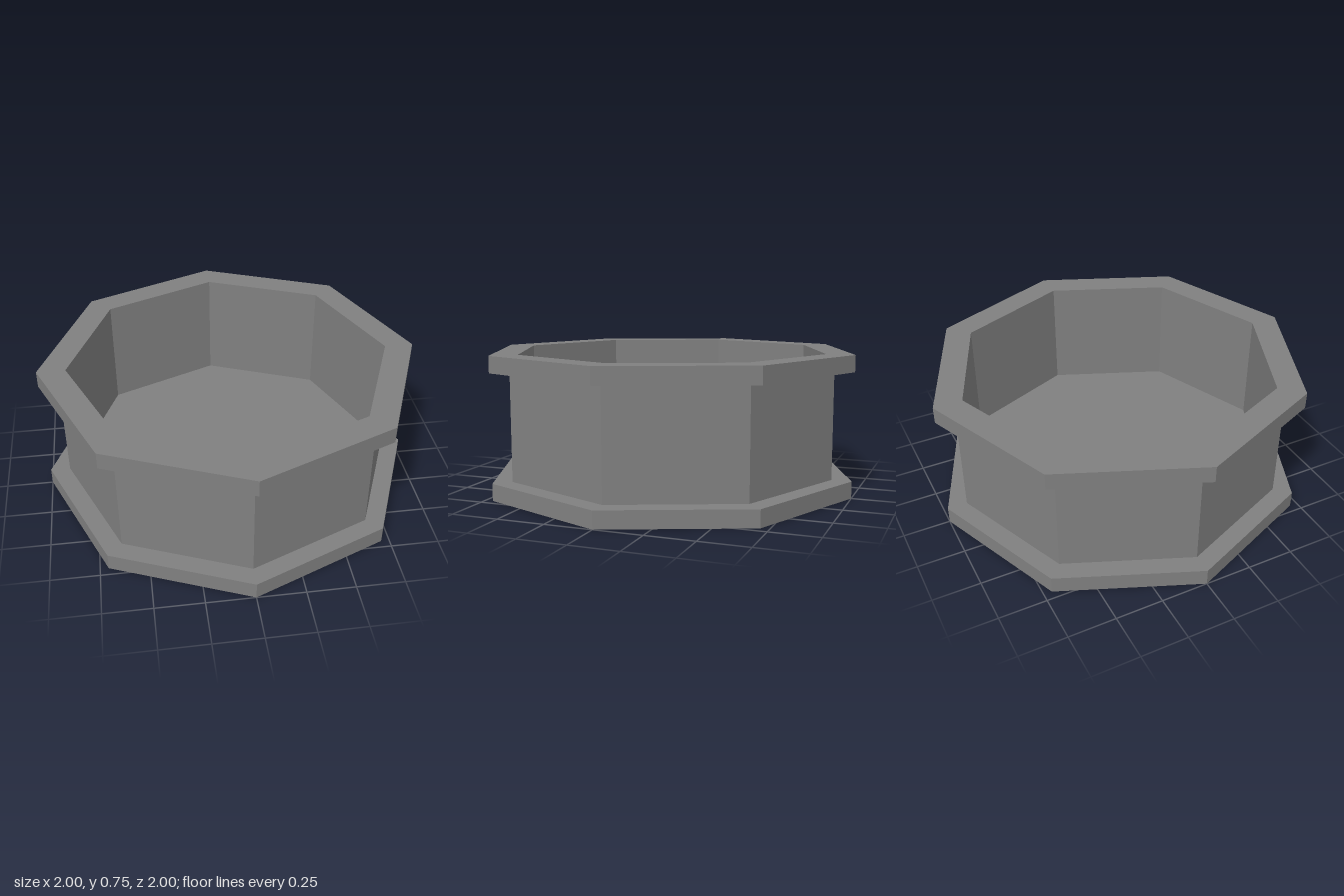
import * as THREE from 'three';

const SIDES = 8;
const material = new THREE.MeshStandardMaterial({ color: 0x808080, flatShading: true });

// Octagonal ring surface turned from [radius, height] points, with corners on the x and z axes
function turned(name, profile) {
  const points = profile.map(([r, y]) => new THREE.Vector2(r, y));
  const mesh = new THREE.Mesh(new THREE.LatheGeometry(points, SIDES), material);
  mesh.name = name;
  return mesh;
}

export function createModel() {
  const outer = 1, wall = 0.895, inner = 0.85;
  const baseTop = 0.09, rimBottom = 0.657, top = 0.745, floor = 0.143;

  const group = new THREE.Group();
  group.name = 'octagonalBasin';
  group.add(
    // Flange at the foot, closed underneath
    turned('baseFlange', [[0, 0], [outer, 0], [outer, baseTop], [wall, baseTop]]),
    // Recessed outside wall
    turned('outerWall', [[wall, baseTop], [wall, rimBottom]]),
    // Projecting flange around the opening
    turned('topRim', [[wall, rimBottom], [outer, rimBottom], [outer, top], [inner, top]]),
    // Inside wall and floor
    turned('innerBasin', [[inner, top], [inner, floor], [0, floor]])
  );
  return group;
}
